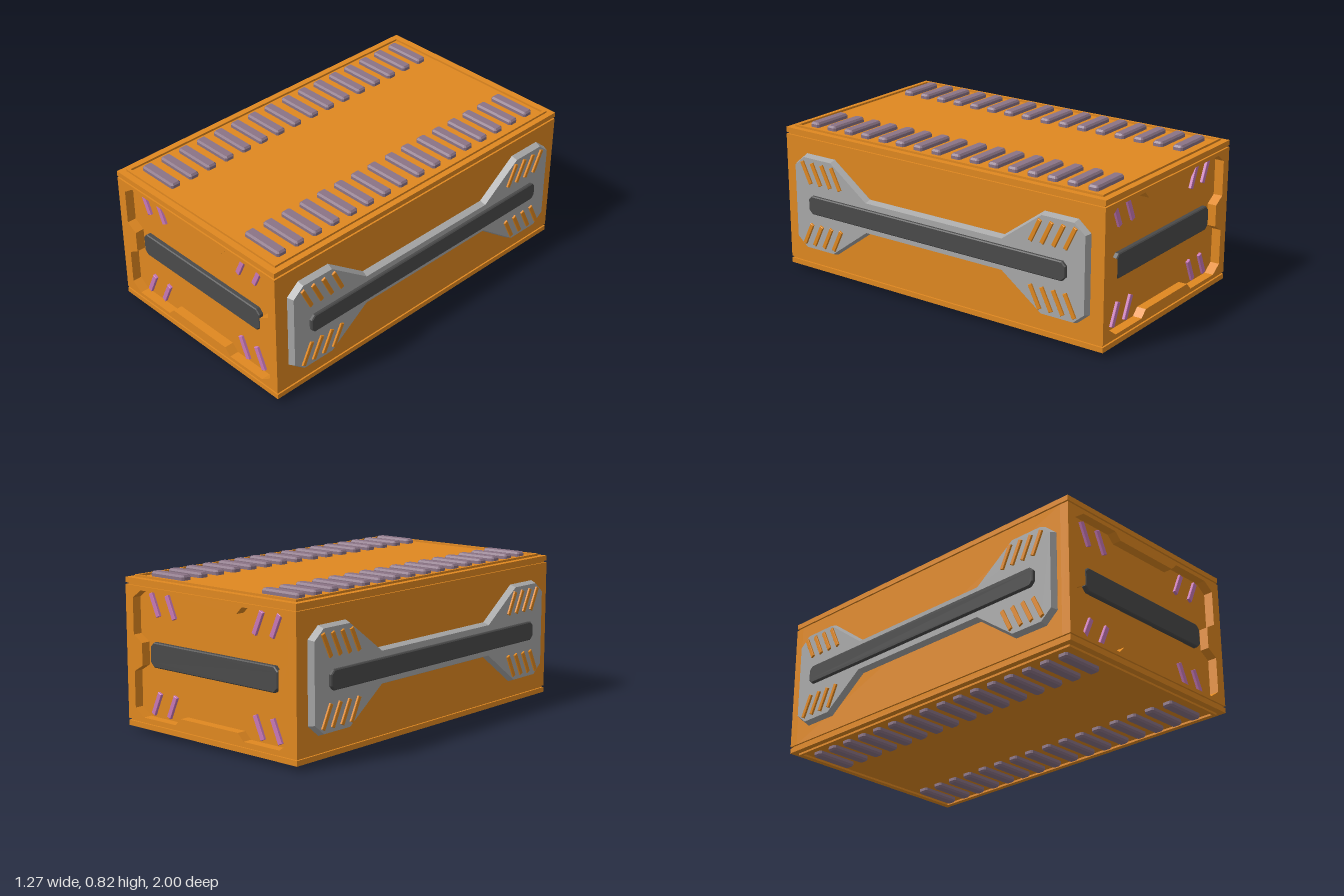
import * as THREE from 'three';

const CY = 0.408; // mid height of the crate
const mat = (color) => new THREE.MeshStandardMaterial({ color, flatShading: true });
const orange = mat(0xe08820), grey = mat(0xa8a8a8), dark = mat(0x4a4a4a);
const pink = mat(0xc878b8), mauve = mat(0x8b7486);

const toVectors = (pts) => pts.map(([x, y]) => new THREE.Vector2(x, y));

// Repeats a quarter outline (from the +y axis round to the +x axis) in all four quadrants
function mirrorQuarter(q) {
  const r = [...q].reverse();
  return [...q, ...r.map(([x, y]) => [x, -y]), ...q.map(([x, y]) => [-x, -y]), ...r.map(([x, y]) => [-x, y])];
}

// Rectangle with cut corners
const cutRect = (hx, hy, c) => mirrorQuarter([[hx - c, hy], [hx, hy - c]]);

// Thin slanted rectangle from point a to point b
function slash(ax, ay, bx, by, w) {
  const l = Math.hypot(bx - ax, by - ay);
  const nx = (-(by - ay) / l) * w / 2, ny = ((bx - ax) / l) * w / 2;
  return [[ax + nx, ay + ny], [ax - nx, ay - ny], [bx - nx, by - ny], [bx + nx, by + ny]];
}

// Plate standing on z = base, rising to z = top with a bevelled rim; its root is sunk below the base
function plate(name, pts, base, top, bevel, thick, material) {
  const geo = new THREE.ExtrudeGeometry(new THREE.Shape(toVectors(pts)), {
    depth: top - thick - base + 0.005, bevelEnabled: true, bevelSegments: 1,
    bevelSize: bevel, bevelOffset: -bevel, bevelThickness: thick,
  });
  geo.translate(0, 0, base - 0.005);
  const mesh = new THREE.Mesh(geo, material);
  mesh.name = name;
  return mesh;
}

// Flat frame with one hole, extruded along z
function frame(name, outer, hole, z, depth, material) {
  const shape = new THREE.Shape(toVectors(outer));
  shape.holes.push(new THREE.Path(toVectors(hole)));
  const geo = new THREE.ExtrudeGeometry(shape, { depth, bevelEnabled: false });
  geo.translate(0, 0, z);
  const mesh = new THREE.Mesh(geo, material);
  mesh.name = name;
  return mesh;
}

function box(name, hx, y0, y1, hz, material) {
  const mesh = new THREE.Mesh(new THREE.BoxGeometry(hx * 2, y1 - y0, hz * 2), material);
  mesh.position.y = (y0 + y1) / 2;
  mesh.name = name;
  return mesh;
}

// End wall: recessed panel with a handle bar and slanted strips
function makeEnd() {
  const g = new THREE.Group();
  const recess = mirrorQuarter([
    [0.2, 0.288], [0.237, 0.325], [0.472, 0.325], [0.532, 0.283], [0.532, 0.094], [0.472, 0.058],
  ]);
  const outer = [[-0.585, -0.345], [0.585, -0.345], [0.585, 0.345], [-0.585, 0.345]];
  g.add(frame('endFrame', outer, recess, 0.95, 0.05, orange));
  g.add(plate('endBar', cutRect(0.44, 0.064, 0.024), 0.95, 0.975, 0.005, 0.005, dark));
  for (const sx of [-1, 1]) for (const sy of [-1, 1]) for (const x of [0.275, 0.39]) {
    const pts = slash(sx * x, sy * 0.195, sx * (x + 0.052), sy * 0.31, 0.026);
    g.add(plate('endStrip', pts, 0.95, 0.965, 0.002, 0.002, pink));
  }
  return g;
}

// Long side: bow-tie armour plate with a bar and slanted ribs
function makeSide() {
  const g = new THREE.Group();
  const outline = mirrorQuarter([
    [0.428, 0.093], [0.662, 0.263], [0.855, 0.263], [0.925, 0.205],
  ]);
  g.add(plate('sidePlate', outline, 0.585, 0.618, 0.012, 0.031, grey));
  g.add(plate('sideBar', cutRect(0.814, 0.05, 0.022), 0.617, 0.635, 0.005, 0.005, dark));
  for (const sx of [-1, 1]) for (const sy of [-1, 1]) for (let i = 0; i < 4; i++) {
    const x = 0.603 + i * 0.067;
    const pts = slash(sx * x, sy * 0.112, sx * (x + 0.057), sy * 0.228, 0.022);
    g.add(plate('sideRib', pts, 0.617, 0.628, 0.002, 0.002, orange));
  }
  return g;
}

// Top or bottom cover: slab, raised rim and two rows of tread pads, facing local +z
function makeCover() {
  const g = new THREE.Group();
  const rect = (x, y) => [[-x, -y], [x, -y], [x, y], [-x, y]];
  g.add(frame('coverRim', rect(0.553, 0.965), rect(0.537, 0.949), 0.375, 0.018, orange));
  for (const sx of [-1, 1]) for (const sy of [-1, 1]) for (let i = 0; i < 8; i++) {
    const pad = plate('treadPad', cutRect(0.119, 0.029, 0.009), 0.382, 0.408, 0.008, 0.01, mauve);
    pad.position.set(sx * 0.386, sy * (0.062 + i * 0.116), 0);
    g.add(pad);
  }
  return g;
}

export function createModel() {
  const model = new THREE.Group();
  model.name = 'crate';

  // Main body, with narrow seams below and above the two covers
  model.add(box('body', 0.585, CY - 0.345, CY + 0.345, 0.95, orange));
  for (const s of [-1, 1]) {
    const mid = CY + s * 0.35;
    model.add(box('seam', 0.575, mid - 0.01, mid + 0.01, 0.99, orange));
    const slab = CY + s * 0.3685;
    model.add(box('coverSlab', 0.585, slab - 0.0135, slab + 0.0135, 1, orange));
  }

  // Matching pairs of ends, sides and covers
  for (const s of [1, -1]) {
    const end = makeEnd();
    end.name = s > 0 ? 'frontEnd' : 'backEnd';
    end.rotation.y = s > 0 ? 0 : Math.PI;
    const side = makeSide();
    side.name = s > 0 ? 'leftSide' : 'rightSide';
    side.rotation.y = s * Math.PI / 2;
    const cover = makeCover();
    cover.name = s > 0 ? 'topCover' : 'bottomCover';
    cover.rotation.x = -s * Math.PI / 2;
    for (const part of [end, side, cover]) {
      part.position.y = CY;
      model.add(part);
    }
  }
  return model;
}
